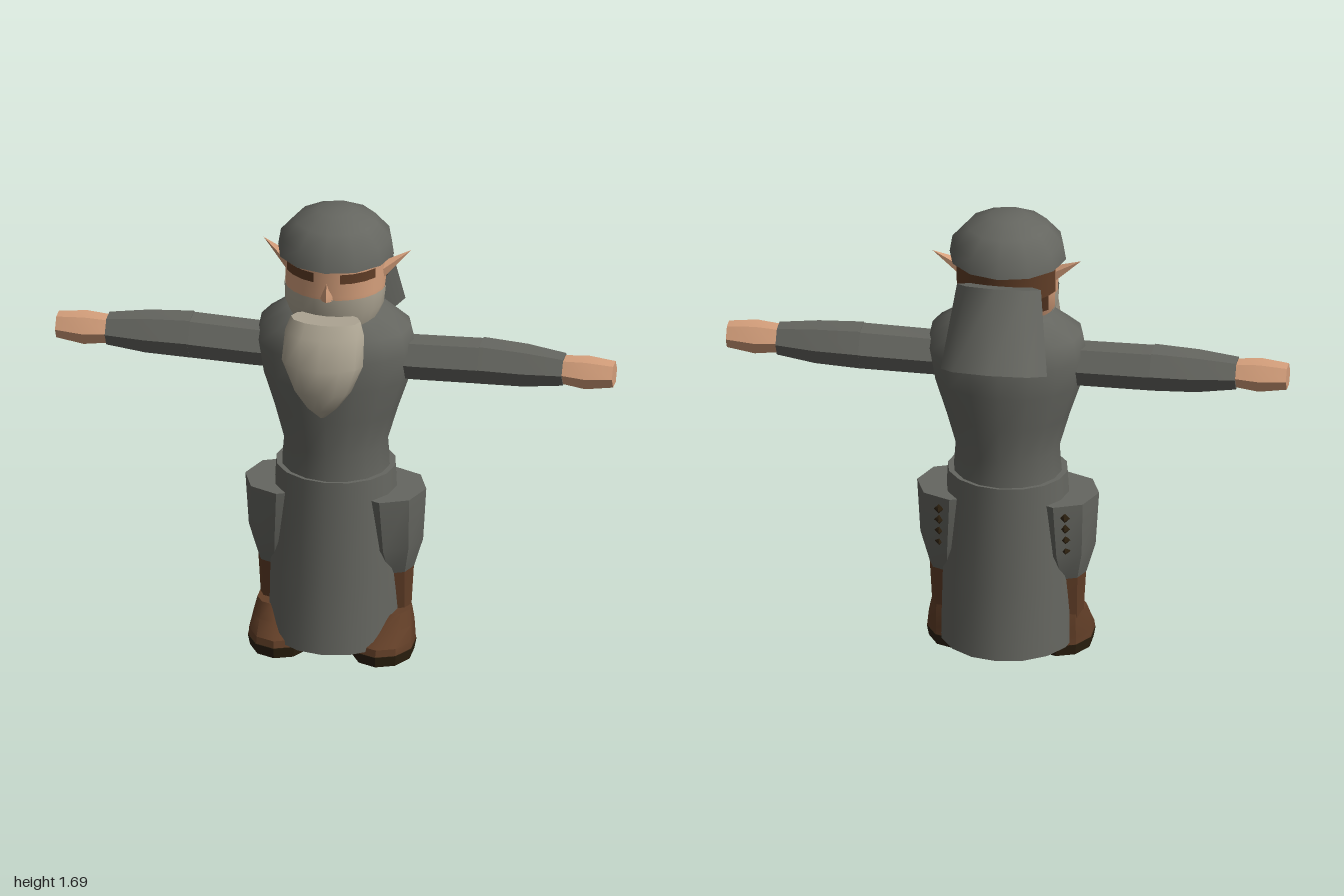
import * as THREE from 'three';
import { toCreasedNormals } from 'three/addons/utils/BufferGeometryUtils.js';

const mat = (name, color) => {
  const m = new THREE.MeshStandardMaterial({ color, side: THREE.DoubleSide });
  m.name = name;
  return m;
};
const CLOTH = mat('grey cloth', 0x656660);
const SKIN = mat('skin', 0xd6a07c);
const LEATHER = mat('brown leather and hair', 0x613e27);
const SOLE = mat('dark sole', 0x2c200f);
const BEARD = mat('pale beard', 0xaca492);
const DEG = Math.PI / 180;

// Skin over elliptical rings [y, centreX, centreZ, radiusX, radiusZ]; angle 0 faces +z.
// A partial arc stays uncapped.
function loft(rings, { sides = 12, from = 0, to = 360, caps = 'both', crease = 40 } = {}) {
  const pos = [], idx = [];
  const row = sides + 1;
  for (const [y, cx, cz, rx, rz] of rings) {
    for (let i = 0; i <= sides; i++) {
      const a = (from + (to - from) * i / sides) * DEG;
      pos.push(cx + rx * Math.sin(a), y, cz + rz * Math.cos(a));
    }
  }
  for (let j = 0; j < rings.length - 1; j++) {
    for (let i = 0; i < sides; i++) {
      const p = j * row + i, q = p + row;
      idx.push(p, p + 1, q + 1, p, q + 1, q);
    }
  }
  const cap = (j, up) => {
    const [y, cx, cz] = rings[j];
    const c = pos.length / 3;
    pos.push(cx, y, cz);
    for (let i = 0; i < sides; i++) {
      const p = j * row + i;
      if (up) idx.push(c, p, p + 1);
      else idx.push(c, p + 1, p);
    }
  };
  if (to - from === 360 && caps !== 'none') {
    cap(rings.length - 1, true);
    if (caps === 'both') cap(0, false);
  }
  const g = new THREE.BufferGeometry();
  g.setAttribute('position', new THREE.Float32BufferAttribute(pos, 3));
  g.setIndex(idx);
  return toCreasedNormals(g, crease * DEG);
}

// Head cross-section at height y, swollen by off
const HEAD = [
  [1.29, 0, 0.085, 0.145, 0.11], [1.35, 0, 0.075, 0.172, 0.14],
  [1.42, 0, 0.055, 0.178, 0.163], [1.54, 0, 0.05, 0.18, 0.172],
];
function headRing(y, off) {
  let k = 0;
  while (k < HEAD.length - 2 && y > HEAD[k + 1][0]) k++;
  const t = (y - HEAD[k][0]) / (HEAD[k + 1][0] - HEAD[k][0]);
  const r = HEAD[k].map((v, i) => THREE.MathUtils.lerp(v, HEAD[k + 1][i], t));
  return [y, 0, r[2], r[3] + off, r[4] + off];
}

export function createModel() {
  const model = new THREE.Group();
  const add = (name, geometry, material) => {
    const m = new THREE.Mesh(geometry, material);
    m.name = name;
    model.add(m);
    return m;
  };

  // Robe
  add('torso', loft([
    [0.67, 0, 0.05, 0.195, 0.18], [0.80, 0, 0.05, 0.185, 0.178], [0.93, 0, 0.047, 0.222, 0.19],
    [1.06, 0, 0.046, 0.265, 0.203], [1.17, 0, 0.043, 0.284, 0.206],
    [1.25, 0, 0.045, 0.268, 0.187], [1.32, 0, 0.035, 0.165, 0.135],
  ], { sides: 16, crease: 60 }), CLOTH);
  add('skirt', loft([
    [0.05, 0, 0.053, 0.24, 0.243], [0.31, 0, 0.053, 0.236, 0.222], [0.70, 0, 0.05, 0.214, 0.19],
  ], { sides: 16, caps: 'top' }), CLOTH);

  // Head, with face hair laid over it
  add('head', loft(HEAD, { sides: 24 }), SKIN);
  const patch = (name, ys, from, to, material, off = 0.004) =>
    add(name, loft(ys.map((y) => headRing(y, off)),
      { sides: (to - from) / 15, from, to }), material);
  patch('jawBeard', [1.29, 1.35, 1.41], -105, 105, BEARD);
  patch('upperHair', [1.42, 1.54], 105, 255, LEATHER);
  patch('lowerHair', [1.35, 1.42], 120, 240, LEATHER);
  patch('leftBrow', [1.475, 1.512], 15, 60, LEATHER);
  patch('rightBrow', [1.475, 1.512], -60, -15, LEATHER);
  add('nose', loft([
    [1.405, 0, 0.205, 0.036, 0.028], [1.425, 0, 0.205, 0.032, 0.028], [1.475, 0, 0.205, 0.012, 0.015],
  ], { sides: 4 }), SKIN);
  add('beard', loft([
    [0.99, 0, 0.295, 0.012, 0.015], [1.03, 0, 0.30, 0.055, 0.042], [1.10, 0, 0.30, 0.105, 0.07],
    [1.20, 0, 0.295, 0.146, 0.078], [1.30, 0, 0.255, 0.142, 0.075], [1.345, 0, 0.235, 0.125, 0.06],
  ], { sides: 12, crease: 50 }), BEARD);

  // Cap and hanging hood
  add('cap', loft([
    [1.53, 0, 0.05, 0.208, 0.203], [1.59, 0, 0.05, 0.198, 0.19],
    [1.65, 0, 0.05, 0.145, 0.14], [1.687, 0, 0.05, 0.065, 0.065],
  ], { sides: 12, crease: 60 }), CLOTH);
  const hood = add('hood', loft([
    [-0.152, 0, 0, 0.19, 0.127], [0.152, 0, 0, 0.15, 0.095],
  ], { sides: 8, crease: 50 }), CLOTH);
  hood.position.set(0, 1.353, -0.19);
  hood.rotation.x = 0.36;

  for (const [side, s] of [['left', 1], ['right', -1]]) {
    // Ear: a flattened cone pointing out and up
    const ear = add(side + 'Ear', toCreasedNormals(
      new THREE.ConeGeometry(0.042, 0.13, 5).scale(0.7, 1, 0.8), 0.3), SKIN);
    ear.position.set(s * 0.213, 1.503, 0.04);
    ear.quaternion.setFromUnitVectors(new THREE.Vector3(0, 1, 0),
      new THREE.Vector3(s * 0.11, 0.075, -0.03).normalize());

    // Arm: hexagonal rings laid along x
    const limb = (name, rows, material) => add(side + name, loft(
      rows.map(([x, y, z, r]) => [x, -s * y, z, r, r]),
      { sides: 6, crease: 20 }).rotateZ(-s * Math.PI / 2), material);
    limb('UpperArm', [[0.2, 1.13, 0.045, 0.08], [0.29, 1.13, 0.045, 0.08], [0.52, 1.135, 0.04, 0.081]], CLOTH);
    limb('Forearm', [[0.52, 1.137, 0.04, 0.083], [0.68, 1.135, 0.043, 0.076], [0.82, 1.135, 0.048, 0.058]], CLOTH);
    limb('Hand', [[0.81, 1.135, 0.05, 0.05], [0.9, 1.133, 0.052, 0.06], [1, 1.135, 0.052, 0.047]], SKIN);

    // Trouser leg, gaiter, boot and sole
    const leg = (name, rows, sides, material) => add(side + name, loft(
      rows.map(([y, x, z, rx, rz]) => [y, s * x, z, rx, rz]),
      { sides, crease: 35 }), material);
    leg('Trouser', [[0.31, 0.205, 0.05, 0.075, 0.08], [0.42, 0.195, 0.052, 0.118, 0.13],
      [0.62, 0.185, 0.055, 0.14, 0.147]], 8, CLOTH);
    leg('Gaiter', [[0.14, 0.21, 0.05, 0.06, 0.05], [0.2, 0.207, 0.05, 0.066, 0.06],
      [0.32, 0.205, 0.05, 0.075, 0.08]], 8, LEATHER);
    leg('Boot', [[0.035, 0.182, 0.12, 0.116, 0.141], [0.065, 0.184, 0.118, 0.112, 0.136],
      [0.11, 0.195, 0.092, 0.093, 0.106], [0.16, 0.21, 0.075, 0.066, 0.078]], 10, LEATHER);
    leg('Sole', [[0, 0.182, 0.12, 0.11, 0.136], [0.04, 0.182, 0.12, 0.118, 0.143]], 10, SOLE);

    // Dark studs down the back seam of the trousers
    for (let i = 0; i < 4; i++) {
      const stud = add(side + 'Stud', new THREE.ConeGeometry(0.018, 0.022, 4), SOLE);
      stud.position.set(s * 0.225, 0.44 + i * 0.045, -0.07 - i * 0.006);
      stud.rotation.x = -Math.PI / 2;
    }
  }
  return model;
}
